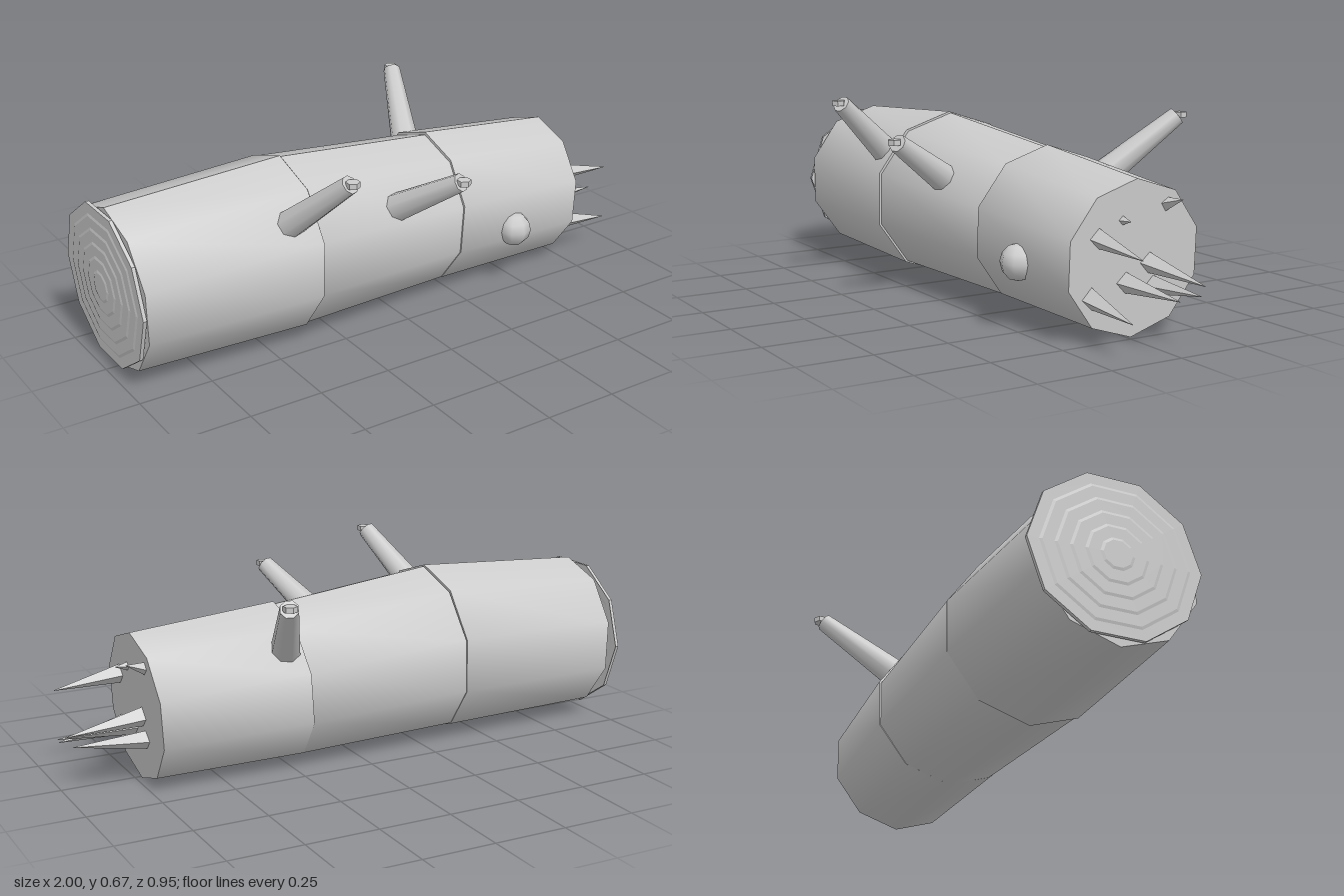
import * as THREE from 'three';

const material = new THREE.MeshStandardMaterial({ color: 0xcccccc, side: THREE.DoubleSide });
const flatMaterial = new THREE.MeshStandardMaterial({ color: 0xcccccc, flatShading: true });

function add(group, name, geometry, mat = material) {
  const mesh = new THREE.Mesh(geometry, mat);
  mesh.name = name;
  group.add(mesh);
  return mesh;
}

// Ten-sided log section along x; each end is [xBottom, xTop, yBottom, yTop, zBack, zFront]
function logSection(a, b) {
  const geometry = new THREE.CylinderGeometry(1, 1, 1, 10, 1);
  const p = geometry.attributes.position;
  const side = Math.cos(Math.PI / 10);
  for (let i = 0; i < p.count; i++) {
    const [x0, x1, y0, y1, z0, z1] = p.getY(i) < 0 ? a : b;
    const up = (p.getZ(i) + 1) / 2;
    const out = (p.getX(i) / side + 1) / 2;
    p.setXYZ(i, x0 + (x1 - x0) * up, y0 + (y1 - y0) * up, z0 + (z1 - z0) * out);
  }
  geometry.computeVertexNormals();
  return geometry;
}

// Tapered rod between two points
function rod(from, to, r0, r1, sides) {
  const a = new THREE.Vector3(...from);
  const dir = new THREE.Vector3(...to).sub(a);
  const geometry = new THREE.CylinderGeometry(r1, r0, dir.length(), sides);
  geometry.translate(0, dir.length() / 2, 0);
  geometry.applyQuaternion(new THREE.Quaternion().setFromUnitVectors(
    new THREE.Vector3(0, 1, 0), dir.normalize()));
  return geometry.translate(a.x, a.y, a.z);
}

export function createModel() {
  const model = new THREE.Group();
  model.name = 'log';

  // Trunk in three tapering sections
  add(model, 'rearTrunk', logSection(
    [-0.96, -0.97, 0.015, 0.565, -0.25, 0.27], [-0.365, -0.35, 0.005, 0.6, -0.27, 0.295]));
  add(model, 'middleTrunk', logSection(
    [-0.365, -0.345, 0.01, 0.595, -0.27, 0.288], [0.225, 0.25, 0.005, 0.535, -0.27, 0.232]));
  add(model, 'frontTrunk', logSection(
    [0.215, 0.25, 0.005, 0.545, -0.275, 0.238], [0.73, 0.755, 0.003, 0.5, -0.25, 0.223]));

  // Rear end grain: shallow concentric terraces
  const profile = [];
  const rings = 6;
  for (let i = 0; i < rings; i++) {
    const r = 0.27 * (1 - i / rings);
    const h = 0.012 + 0.0025 * i;
    if (i === 0) profile.push(new THREE.Vector2(r, 0));
    profile.push(new THREE.Vector2(r, h), new THREE.Vector2(r - 0.036, h));
  }
  profile.push(new THREE.Vector2(0, 0.0245));
  const grain = new THREE.LatheGeometry(profile, 10);
  grain.rotateZ(Math.PI / 2);
  const endGrain = add(model, 'endGrain', grain,
    new THREE.MeshStandardMaterial({ color: 0xcccccc, flatShading: true, side: THREE.DoubleSide }));
  endGrain.position.set(-0.971, 0.295, -0.005);
  endGrain.scale.z = 1.06;
  endGrain.rotation.z = 0.015;

  // Branch stubs, each with a rounded tip and a small cut disc
  const branches = [
    [[-0.46, 0.42, 0.18], [-0.352, 0.65, 0.44]],
    [[-0.04, 0.39, 0.18], [0.066, 0.56, 0.44]],
    [[0.285, 0.41, -0.18], [0.394, 0.63, -0.44]],
  ];
  branches.forEach(([from, to], i) => {
    const branch = new THREE.Group();
    branch.name = 'branch' + (i + 1);
    add(branch, 'stub', rod(from, to, 0.052, 0.031, 8));
    const disc = add(branch, 'cutDisc', new THREE.CylinderGeometry(0.023, 0.023, 0.018, 6), flatMaterial);
    disc.position.set(to[0] + 0.003, to[1] + 0.004, to[2] + Math.sign(to[2]) * 0.012);
    model.add(branch);
  });

  // Round knot on the front side
  const knot = add(model, 'knot', new THREE.SphereGeometry(0.06, 8, 6));
  knot.position.set(0.464, 0.217, 0.228);

  // Four-sided splinters on the broken end: base y, z, then tip x, y, z, radius
  const splinters = [
    [0.33, 0.12, 0.97, 0.3, 0.122, 0.035],
    [0.235, -0.07, 1.0, 0.207, -0.082, 0.035],
    [0.18, 0.015, 1.0, 0.172, 0.01, 0.035],
    [0.145, 0.138, 0.955, 0.112, 0.145, 0.037],
    [0.16, -0.09, 0.98, 0.172, -0.085, 0.032],
    [0.375, 0.035, 0.79, 0.377, 0.035, 0.022],
    [0.405, -0.125, 0.815, 0.432, -0.14, 0.028],
  ];
  splinters.forEach(([y, z, tx, ty, tz, r], i) =>
    add(model, 'splinter' + (i + 1), rod([0.725, y, z], [tx, ty, tz], r, 0.001, 4), flatMaterial));

  return model;
}
